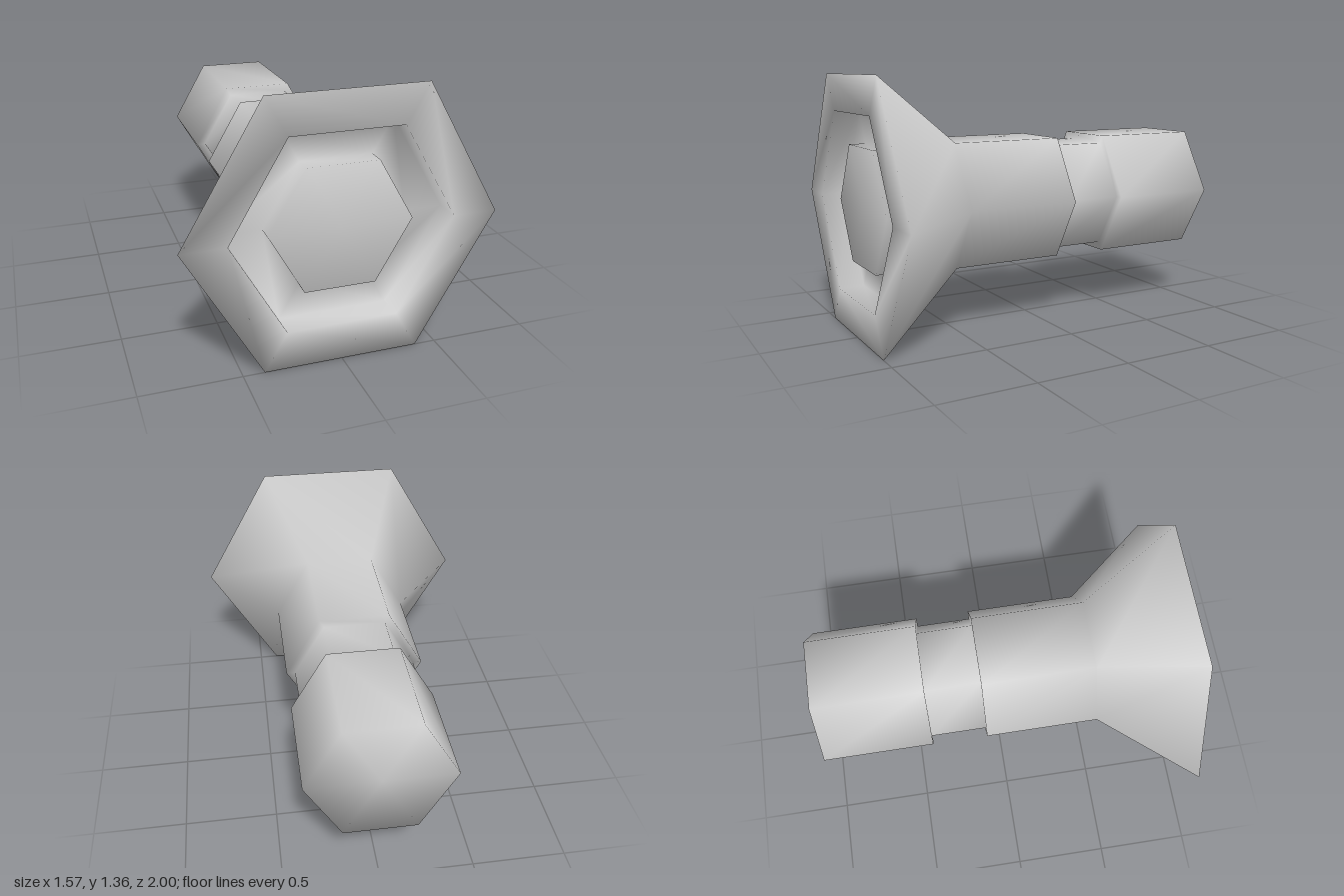
import * as THREE from 'three';
import { mergeVertices } from 'three/addons/utils/BufferGeometryUtils.js';

const SIDES = 6;
const CENTER_Y = 0.68;

// Six-sided turned solid along z from [radius, z] pairs, with normals shared over all edges
function hexTurned(profile) {
  const points = profile.map(([r, z]) => new THREE.Vector2(r, z));
  let geometry = new THREE.LatheGeometry(points, SIDES, Math.PI / 2);
  geometry.deleteAttribute('normal');
  geometry.deleteAttribute('uv');
  geometry = mergeVertices(geometry, 1e-4);
  geometry.rotateX(Math.PI / 2);
  geometry.computeVertexNormals();
  return geometry;
}

export function createModel() {
  const group = new THREE.Group();
  const material = new THREE.MeshStandardMaterial({ color: 0xcccccc });

  const profile = [
    // rear handle
    [0, -1], [0.38, -1], [0.38, -0.4],
    // narrow neck
    [0.332, -0.4], [0.332, -0.1],
    // front barrel and flared head
    [0.38, -0.1], [0.38, 0.515], [0.785, 1],
    // flat rim and recess
    [0.56, 1], [0.56, 0.865],
    // raised lens in the recess
    [0.362, 0.865], [0.362, 0.955], [0, 0.955],
  ];
  const body = new THREE.Mesh(hexTurned(profile), material);
  body.name = 'flaredHexBody';
  body.position.y = CENTER_Y;
  group.add(body);

  return group;
}
